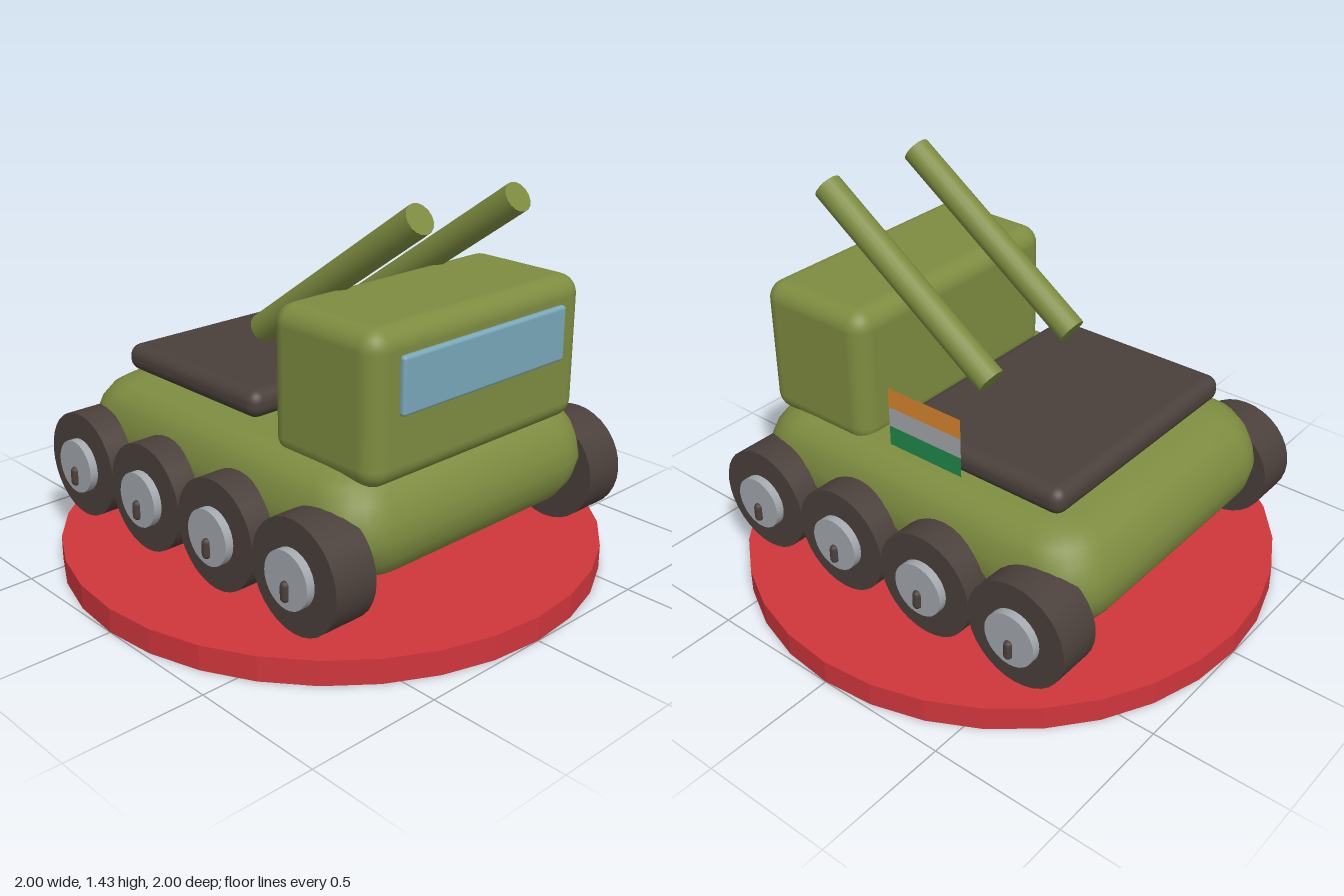
import * as THREE from 'three';
import { RoundedBoxGeometry } from 'three/addons/geometries/RoundedBoxGeometry.js';
import { toCreasedNormals } from 'three/addons/utils/BufferGeometryUtils.js';

const material = (name, color) => {
  const m = new THREE.MeshStandardMaterial({ color });
  m.name = name;
  return m;
};

// Solid lofted through horizontal rounded rectangles: [y, half width, half depth, corner radius]
function loftRoundedRects(layers, steps = 6) {
  const ring = 4 * (steps + 1);
  const pos = [], index = [];
  for (const [y, hx, hz, r] of layers) {
    for (let c = 0; c < 4; c++) {
      const sx = c === 0 || c === 3 ? 1 : -1, sz = c < 2 ? 1 : -1;
      for (let i = 0; i <= steps; i++) {
        const a = (c + i / steps) * Math.PI / 2;
        pos.push(sx * (hx - r) + r * Math.cos(a), y, sz * (hz - r) + r * Math.sin(a));
      }
    }
  }
  for (let l = 0; l < layers.length - 1; l++) {
    for (let i = 0; i < ring; i++) {
      const a = l * ring + i, b = l * ring + (i + 1) % ring;
      index.push(a, a + ring, b, b, a + ring, b + ring);
    }
  }
  const top = (layers.length - 1) * ring;
  for (let i = 1; i < ring - 1; i++) {
    index.push(0, i, i + 1);
    index.push(top, top + i + 1, top + i);
  }
  const g = new THREE.BufferGeometry();
  g.setAttribute('position', new THREE.Float32BufferAttribute(pos, 3));
  g.setIndex(index);
  return toCreasedNormals(g, 0.75);
}

export function createModel() {
  const model = new THREE.Group();
  model.name = 'armouredVehicle';

  const olive = material('olive', 0x7e8c40);
  const dark = material('dark brown', 0x4b403b);
  const red = material('red', 0xcf363c);
  const glass = material('window blue', 0x79a7ba);
  const grey = material('grey', 0xa3a9ae);
  const stripes = [['orange', 0xd9862f], ['pale grey', 0xa5a7ab], ['green', 0x20894a]]
    .map(([name, color]) => {
      const m = material(name, color);
      m.side = THREE.DoubleSide;
      return m;
    });

  const add = (name, geometry, mat, x, y, z, parent = model) => {
    const mesh = new THREE.Mesh(geometry, mat);
    mesh.name = name;
    mesh.position.set(x, y, z);
    parent.add(mesh);
    return mesh;
  };

  // Round display base
  add('base', toCreasedNormals(new THREE.CylinderGeometry(1, 1, 0.09, 32), 0.1), red, 0, 0.045, 0);

  // Hull with soft, rounded shoulders
  add('hull', loftRoundedRects([
    [0.24, 0.43, 0.60, 0.10],
    [0.255, 0.49, 0.66, 0.13],
    [0.29, 0.55, 0.715, 0.16],
    [0.35, 0.59, 0.752, 0.18],
    [0.42, 0.61, 0.762, 0.18],
    [0.48, 0.605, 0.752, 0.18],
    [0.54, 0.59, 0.725, 0.17],
    [0.585, 0.565, 0.69, 0.16],
    [0.615, 0.52, 0.64, 0.13],
    [0.63, 0.46, 0.58, 0.10],
  ]), olive, 0, 0, 0);

  // Cab and windscreen
  add('cab', new RoundedBoxGeometry(1.01, 0.52, 0.48, 4, 0.07), olive, 0, 0.84, 0.487);
  add('windscreen', new RoundedBoxGeometry(0.78, 0.195, 0.05, 3, 0.012), glass, 0, 0.915, 0.72);

  // Rear deck plate
  add('deckPlate', new RoundedBoxGeometry(0.97, 0.10, 0.735, 4, 0.045), dark, 0, 0.70, -0.222);

  // Two barrels sloping forward over the cab
  const lower = new THREE.Vector3(0, 0.87, -0.10), upper = new THREE.Vector3(0, 1.39, 0.642);
  const axis = upper.clone().sub(lower);
  const barrelGeometry = new THREE.CylinderGeometry(0.054, 0.054, axis.length(), 16);
  const middle = lower.clone().add(upper).multiplyScalar(0.5);
  for (const side of [1, -1]) {
    const barrel = add(side > 0 ? 'leftBarrel' : 'rightBarrel', barrelGeometry, olive,
      side * 0.23, middle.y, middle.z);
    barrel.quaternion.setFromUnitVectors(new THREE.Vector3(0, 1, 0), axis.clone().normalize());
  }

  // Four wheels on each side, with hubs and a small pin
  const tyreGeometry = new THREE.CylinderGeometry(0.197, 0.197, 0.168, 32);
  const hubGeometry = new THREE.CylinderGeometry(0.1, 0.1, 0.06, 28);
  const pinGeometry = new THREE.CapsuleGeometry(0.016, 0.042, 4, 10);
  for (const side of [1, -1]) {
    for (let i = 0; i < 4; i++) {
      const wheel = new THREE.Group();
      wheel.name = (side > 0 ? 'leftWheel' : 'rightWheel') + (i + 1);
      wheel.position.set(0, 0.33, 0.587 - i * 0.391);
      model.add(wheel);
      add('tyre', tyreGeometry, dark, side * 0.621, 0, 0, wheel).rotation.z = Math.PI / 2;
      add('hub', hubGeometry, grey, side * 0.706, 0, 0, wheel).rotation.z = Math.PI / 2;
      add('pin', pinGeometry, dark, side * 0.738, -0.037, 0, wheel);
    }
  }

  // Three-striped flag panel on the left side
  const flag = new THREE.Group();
  flag.name = 'flag';
  flag.position.set(0.55, 0.815, -0.08);
  flag.rotation.y = Math.PI / 2;
  model.add(flag);
  const stripeGeometry = new THREE.PlaneGeometry(0.315, 0.0735);
  stripes.forEach((mat, i) => add('flagStripe' + (i + 1), stripeGeometry, mat, 0, (1 - i) * 0.0735, 0, flag));

  return model;
}
